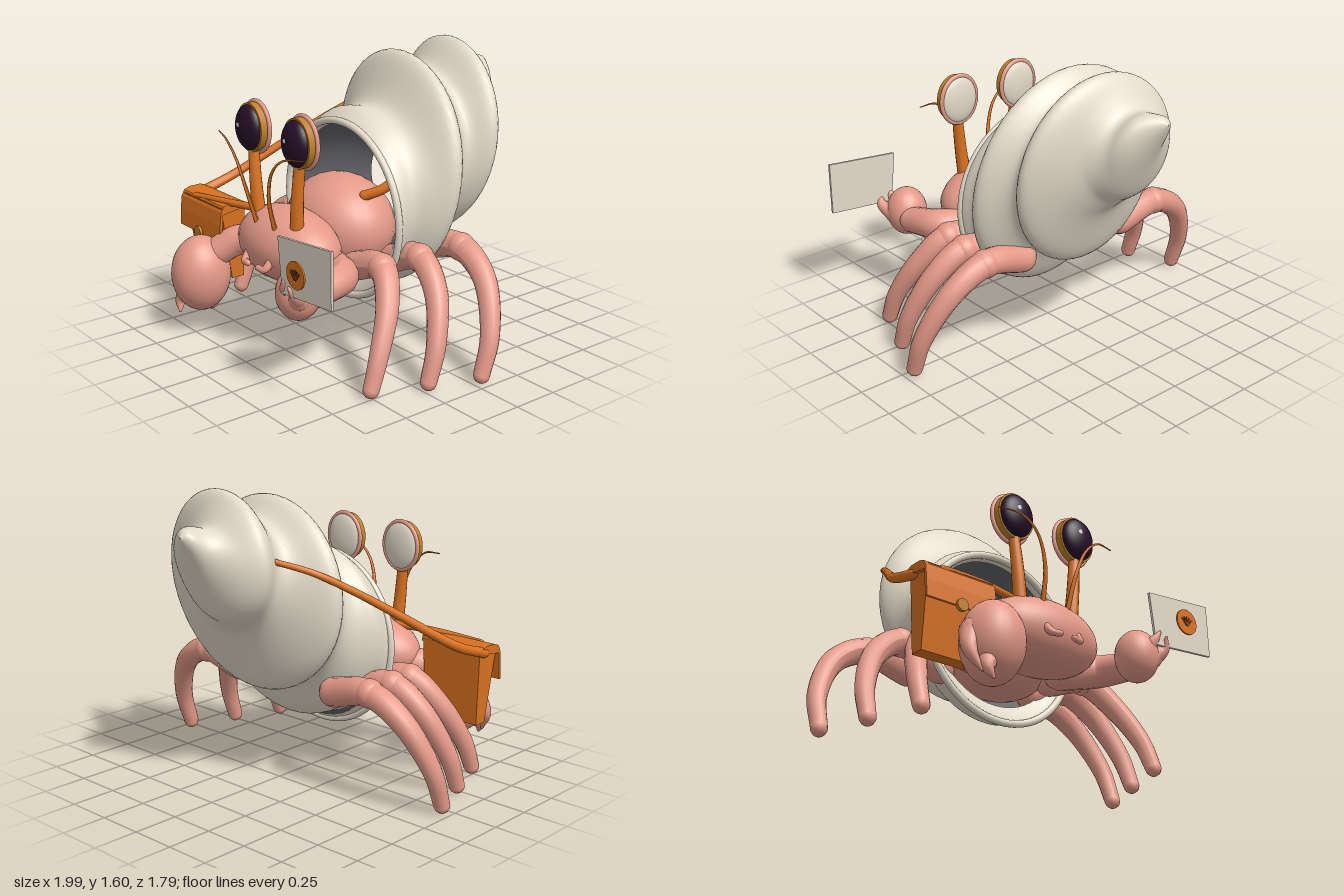
import * as THREE from 'three';

const flat = (name, color, side = THREE.FrontSide) => {
  const m = new THREE.MeshStandardMaterial({ color, side });
  m.name = name;
  return m;
};
const V = (p) => new THREE.Vector3(...p);

export function createModel() {
  const root = new THREE.Group();
  root.name = 'hermitCrab';
  const skin = flat('coralSkin', 0xe59a89);
  const cream = flat('creamShell', 0xe3dbca);
  const grey = flat('greyLining', 0x66676a, THREE.DoubleSide);
  const orange = flat('orangeLeather', 0xda7220);
  const brown = flat('brownTrim', 0x7d3c10);
  const amber = flat('amber', 0xbf8128);
  const dark = flat('darkEye', 0x260f28);
  const white = flat('whiteGlint', 0xf2eee8);

  const add = (name, geo, mat, pos = [0, 0, 0], parent = root) => {
    const m = new THREE.Mesh(geo, mat);
    m.name = name;
    m.position.set(...pos);
    parent.add(m);
    return m;
  };
  const ball = (name, mat, pos, size, parent) => {
    const m = add(name, new THREE.SphereGeometry(1, 28, 20), mat, pos, parent);
    m.scale.set(...size);
    return m;
  };
  // Round tube along points, tapering from r0 to r1, with rounded ends
  const limb = (name, mat, pts, r0, r1, parent = root, sides = 14) => {
    const g = new THREE.Group();
    g.name = name;
    parent.add(g);
    const path = new THREE.CatmullRomCurve3(pts.map(V));
    const n = 28, geo = new THREE.TubeGeometry(path, n, 1, sides), pos = geo.attributes.position;
    const v = new THREE.Vector3();
    for (let i = 0; i <= n; i++) {
      const c = path.getPointAt(i / n), r = r0 + (r1 - r0) * i / n;
      for (let j = 0; j <= sides; j++) {
        const k = i * (sides + 1) + j;
        v.fromBufferAttribute(pos, k).sub(c).multiplyScalar(r).add(c);
        pos.setXYZ(k, v.x, v.y, v.z);
      }
    }
    geo.computeVertexNormals();
    add(name + 'Tube', geo, mat, [0, 0, 0], g);
    [[pts[0], r0], [pts[pts.length - 1], r1]].forEach(([p, r]) =>
      add(name + 'End', new THREE.SphereGeometry(r, 12, 8), mat, p, g));
    return g;
  };
  // Skin over round sections; row = [centre x, centre y, z, radius, ripple]
  const loft = (rows, steps, sides) => {
    const a = new THREE.CatmullRomCurve3(rows.map((r) => V([r[0], r[1], r[2]])), false, 'catmullrom');
    const b = new THREE.CatmullRomCurve3(rows.map((r) => V([r[3], r[4], 0])), false, 'catmullrom');
    const pos = [], idx = [];
    for (let j = 0; j <= steps; j++) {
      const c = a.getPoint(j / steps), q = b.getPoint(j / steps);
      for (let i = 0; i < sides; i++) {
        const th = i / sides * Math.PI * 2;
        const r = Math.max(0.002, q.x + q.y * Math.cos(2 * Math.PI * (c.z + 0.15) / 0.32 + th));
        pos.push(c.x + r * Math.cos(th), c.y + r * Math.sin(th), c.z);
        if (j === steps) continue;
        const k = j * sides + i, l = j * sides + (i + 1) % sides;
        idx.push(k, k + sides, l, l, k + sides, l + sides);
      }
    }
    const g = new THREE.BufferGeometry();
    g.setAttribute('position', new THREE.Float32BufferAttribute(pos, 3));
    g.setIndex(idx);
    g.computeVertexNormals();
    return g;
  };

  // Spiral shell, open at the front
  add('shell', loft([
    [0.02, 0.735, 0.12, 0.482, 0], [0.03, 0.79, 0.03, 0.475, 0.015], [0.08, 0.83, -0.07, 0.485, 0.03],
    [0.07, 0.98, -0.23, 0.505, 0.055], [0.08, 1.06, -0.39, 0.455, 0.06], [0.11, 1.17, -0.55, 0.37, 0.06],
    [0.07, 1.23, -0.63, 0.29, 0.05], [0.03, 1.26, -0.71, 0.21, 0.035], [0.045, 1.32, -0.8, 0.125, 0.015],
    [0.025, 1.39, -0.87, 0.05, 0], [0.02, 1.41, -0.9, 0.003, 0]], 100, 56), cream);
  add('shellRim', new THREE.TorusGeometry(0.478, 0.02, 12, 64), cream, [0.018, 0.73, 0.125]);
  // Inner lip faces forward, so its sections run from back to front
  add('shellLip', loft([[0.018, 0.77, 0.085, 0.415, 0], [0.018, 0.745, 0.115, 0.447, 0],
    [0.018, 0.73, 0.13, 0.478, 0]], 8, 64), cream);
  add('shellLining', loft([
    [0.02, 0.73, 0.12, 0.465, 0], [0.025, 0.745, 0.05, 0.445, 0], [0.03, 0.775, -0.03, 0.405, 0],
    [0.04, 0.81, -0.14, 0.335, 0], [0.05, 0.83, -0.25, 0.24, 0]], 16, 48), grey);

  // Head and body
  ball('head', skin, [0, 0.6, 0.46], [0.36, 0.2, 0.215]);
  ball('body', skin, [0, 0.65, 0.12], [0.335, 0.27, 0.27]);

  // Three walking legs on each side
  const legs = [
    [[0.26, 0.5, 0.24], [0.5, 0.56, 0.24], [0.64, 0.42, 0.32], [0.72, 0.2, 0.44], [0.735, 0.045, 0.5]],
    [[0.3, 0.5, 0.03], [0.55, 0.58, 0.03], [0.72, 0.46, 0.07], [0.83, 0.22, 0.16], [0.845, 0.045, 0.22]],
    [[0.35, 0.55, -0.2], [0.6, 0.6, -0.21], [0.8, 0.49, -0.19], [0.935, 0.24, -0.11], [0.95, 0.045, -0.045]]];
  for (const s of [1, -1]) {
    const side = s > 0 ? 'left' : 'right';
    const m = (pts) => pts.map(([x, y, z]) => [x * s, y, z]);
    legs.forEach((pts, i) => {
      limb(side + 'Leg' + (i + 1), skin, m(pts), 0.08, 0.043);
      ball(side + 'Knee' + (i + 1), skin, m([pts[1]])[0], [0.076, 0.076, 0.076]);
    });
    limb(side + 'Mouthpart', skin, m([[0.1, 0.575, 0.64], [0.09, 0.53, 0.68], [0.045, 0.53, 0.69]]), 0.024, 0.016);
    limb(side + 'Antenna', orange, m([[0.08, 0.71, 0.6], [0.1, 0.9, 0.65], [0.16, 1.06, 0.67],
      [0.25, 1.14, 0.665], [0.38, 1.16, 0.63]]), 0.014, 0.003, root, 8);
    limb(side + 'EyeStalk', orange, m([[0.17, 0.74, 0.53], [0.185, 0.9, 0.535], [0.207, 1.12, 0.53]]), 0.037, 0.028);

    // Eye: pale back, pink ring, amber band, dark front and glint
    const eye = new THREE.Group();
    eye.name = side + 'Eye';
    eye.position.set(0.207 * s, 1.2, 0.505);
    root.add(eye);
    const cap = (name, mat, z, size, dir) => {
      const g = new THREE.SphereGeometry(1, 32, 12, 0, Math.PI * 2, 0, Math.PI / 2);
      add(name, g.rotateX(dir * Math.PI / 2), mat, [0, 0, z], eye).scale.set(...size);
    };
    cap('eyeBack', cream, 0, [0.113, 0.133, 0.036], -1);
    cap('pupil', dark, 0.048, [0.103, 0.121, 0.058], 1);
    const band = add('iris', new THREE.CylinderGeometry(1, 1, 0.05, 36).rotateX(Math.PI / 2), amber, [0, 0, 0.025], eye);
    band.scale.set(0.113, 0.131, 1);
    add('eyeRing', new THREE.TorusGeometry(0.117, 0.012, 10, 40), skin, [0, 0, 0], eye).scale.y = 1.14;
    add('glint', new THREE.CircleGeometry(0.013, 14), white, [-0.022, 0.02, 0.107], eye);
  }

  // Large right claw, pointing down
  limb('rightArm', skin, [[-0.24, 0.53, 0.46], [-0.35, 0.54, 0.54], [-0.43, 0.47, 0.64]], 0.09, 0.08);
  ball('rightClaw', skin, [-0.485, 0.35, 0.71], [0.158, 0.212, 0.165]);
  const finger = (name, pts, r) => limb(name, skin, pts, r, 0.008);
  finger('rightThumb', [[-0.59, 0.38, 0.7], [-0.64, 0.27, 0.74], [-0.6, 0.16, 0.78]], 0.07);
  finger('rightFinger', [[-0.52, 0.26, 0.74], [-0.575, 0.18, 0.79], [-0.555, 0.125, 0.81]], 0.08);

  // Small left claw, holding the card
  limb('leftArm', skin, [[0.24, 0.51, 0.36], [0.42, 0.53, 0.44], [0.47, 0.51, 0.62]], 0.1, 0.075);
  ball('leftClaw', skin, [0.44, 0.525, 0.72], [0.115, 0.14, 0.115]);
  finger('leftThumb', [[0.45, 0.54, 0.77], [0.47, 0.59, 0.82], [0.49, 0.63, 0.845]], 0.055);
  finger('leftFinger', [[0.5, 0.52, 0.76], [0.545, 0.56, 0.81], [0.535, 0.61, 0.845]], 0.06);

  // Card with a round seal
  const plate = (pts, depth) => new THREE.ExtrudeGeometry(
    new THREE.Shape(pts.map((p) => new THREE.Vector2(...p))), { depth, bevelEnabled: false });
  add('card', plate([[0.47, 0.56], [0.86, 0.595], [0.86, 0.885], [0.44, 0.845]], 0.014), cream, [0, 0, 0.823]);
  add('seal', new THREE.CylinderGeometry(0.07, 0.07, 0.009, 32).rotateX(Math.PI / 2), orange, [0.65, 0.718, 0.883]);
  for (let i = -2; i <= 2; i++) {
    const a = i * 0.35;
    add('sealRay', new THREE.BoxGeometry(0.008, 0.05, 0.004), brown,
      [0.65 + Math.sin(a) * 0.03, 0.692 + Math.cos(a) * 0.03, 0.889]).rotation.z = -a;
  }

  // Satchel, narrower at the bottom
  const bag = new THREE.BoxGeometry(0.38, 0.42, 0.15);
  const bp = bag.attributes.position;
  for (let i = 0; i < bp.count; i++) {
    if (bp.getY(i) < 0) {
      bp.setX(i, bp.getX(i) * 0.92);
      bp.setZ(i, bp.getZ(i) * 0.5 - 0.03);
    }
  }
  bag.computeVertexNormals();
  add('satchel', bag, orange, [-0.6, 0.505, 0.54]);
  // Flap: side profile (-z, y) that rolls over the top, pulled out along x
  const flap = plate([[-0.465, 0.7], [-0.47, 0.73], [-0.5, 0.74], [-0.57, 0.738], [-0.605, 0.725], [-0.622, 0.695],
    [-0.632, 0.62], [-0.636, 0.53], [-0.622, 0.53], [-0.61, 0.68]].reverse(), 0.41);
  add('satchelFlap', flap.rotateY(Math.PI / 2), orange, [-0.81, 0, 0]);
  add('satchelButton', new THREE.CylinderGeometry(0.032, 0.032, 0.02, 24).rotateX(Math.PI / 2), amber, [-0.61, 0.535, 0.64]);

  // Strap, around the shell and across the body
  limb('strapBack', orange, [[-0.79, 0.7, 0.5], [-0.765, 0.77, 0.3], [-0.61, 0.98, -0.02], [-0.49, 1.125, -0.24],
    [-0.385, 1.22, -0.4], [-0.23, 1.27, -0.51]], 0.028, 0.015);
  limb('strapFront', orange, [[-0.7, 0.72, 0.6], [-0.42, 0.74, 0.56], [-0.18, 0.75, 0.5]], 0.016, 0.022);
  limb('strapInside', orange, [[0.22, 0.85, 0.13], [0.29, 0.89, 0.07], [0.345, 0.96, -0.01]], 0.028, 0.026);

  return root;
}
